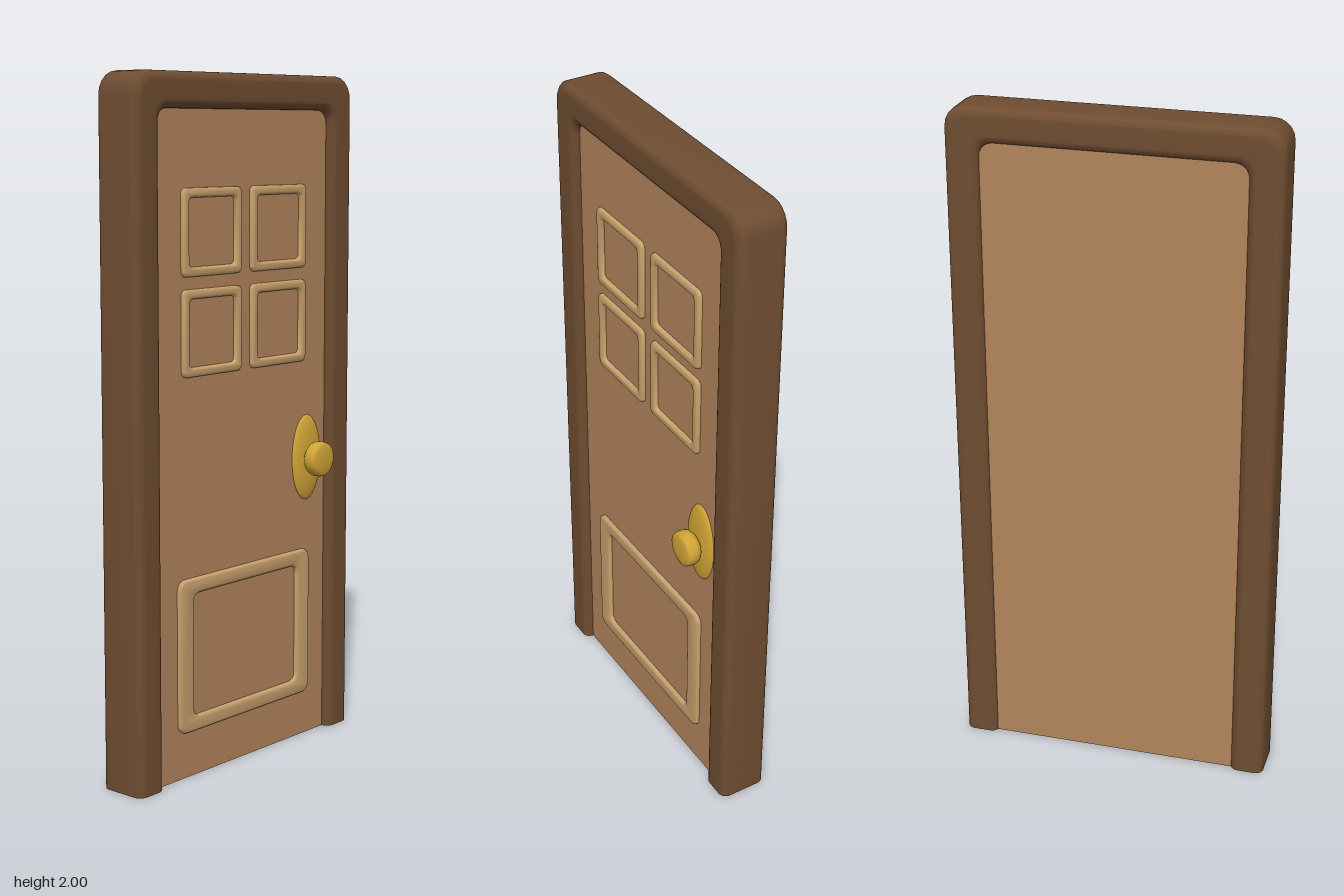
import * as THREE from 'three';
import { toCreasedNormals } from 'three/addons/utils/BufferGeometryUtils.js';

const paint = (color, side = THREE.FrontSide) =>
  new THREE.MeshStandardMaterial({ color, side });

function addMesh(parent, name, geometry, material) {
  const mesh = new THREE.Mesh(geometry, material);
  mesh.name = name;
  parent.add(mesh);
  return mesh;
}

// Rounded rectangle centred on the origin
function roundedRect(w, h, r, PathType = THREE.Shape) {
  const p = new PathType(), x = w / 2, y = h / 2, q = Math.PI / 2;
  p.absarc(x - r, y - r, r, 0, q);
  p.absarc(-x + r, y - r, r, q, 2 * q);
  p.absarc(-x + r, -y + r, r, 2 * q, 3 * q);
  p.absarc(x - r, -y + r, r, 3 * q, 4 * q);
  p.closePath();
  return p;
}

// Hollow rounded section swept up one post, over the top and down the other
function frameGeometry() {
  const width = 0.1, depth = 0.15, arcSteps = 5;
  const section = roundedRect(width, depth, 0.025).getPoints(4)
    .filter((p, i, a) => i === 0 || p.distanceTo(a[i - 1]) > 1e-5);
  if (section[0].distanceTo(section[section.length - 1]) < 1e-5) section.pop();
  const n = section.length, positions = [], index = [];
  const addRing = (place) => section.forEach((s) => {
    const w = s.x + width / 2;
    const [z, y] = place(0.373 + w, 1.9 + w, 0.04 + 0.2 * w);
    positions.push(s.y - 0.025, y, z);
  });
  addRing((z) => [z, 0]);
  for (const [side, start] of [[1, 0], [-1, Math.PI / 2]]) {
    for (let i = 0; i <= arcSteps; i++) {
      const a = start + (i / arcSteps) * Math.PI / 2;
      addRing((z, y, r) => [side * (z - r) + r * Math.cos(a), y - r + r * Math.sin(a)]);
    }
  }
  addRing((z) => [-z, 0]);
  const rings = positions.length / 3 / n;
  for (let k = 0; k < rings - 1; k++) {
    for (let i = 0; i < n; i++) {
      const a = k * n + i, b = k * n + (i + 1) % n;
      index.push(a, b, a + n, b, b + n, a + n);
    }
  }
  const g = new THREE.BufferGeometry();
  g.setAttribute('position', new THREE.Float32BufferAttribute(positions, 3));
  g.setIndex(index);
  return toCreasedNormals(g, 0.7);
}

// Raised moulding with rounded edges, facing +x
function trimGeometry(w, h, barW, barH, r) {
  const shape = roundedRect(w, h, r);
  shape.holes.push(roundedRect(w - 2 * barW, h - 2 * barH, r * 0.8, THREE.Path));
  const bevel = 0.008;
  const g = new THREE.ExtrudeGeometry(shape, {
    depth: 0.012, bevelEnabled: true, bevelThickness: bevel,
    bevelSize: bevel, bevelOffset: -bevel, bevelSegments: 3, curveSegments: 4,
  });
  return toCreasedNormals(g.rotateY(Math.PI / 2), 0.7);
}

export function createModel() {
  const group = new THREE.Group();
  group.name = 'door';
  const frameMat = paint(0x6f4d31, THREE.DoubleSide);
  const doorMat = paint(0xb3845c);
  const trimMat = paint(0xc8a06c);
  const brass = paint(0xd2a535);
  const faceX = 0.025;

  addMesh(group, 'doorFrame', frameGeometry(), frameMat);

  // Door slab, its edges tucked into the frame
  const slab = addMesh(group, 'doorSlab', new THREE.BoxGeometry(0.11, 1.93, 0.81), doorMat);
  slab.position.set(faceX - 0.055, 0.965, 0);

  // Four small upper mouldings and one large lower one
  const small = trimGeometry(0.25, 0.245, 0.027, 0.027, 0.018);
  for (const y of [1.5625, 1.2825]) {
    for (const z of [0.146, -0.146]) {
      addMesh(group, 'upperPanelTrim', small, trimMat).position.set(faceX - 0.008, y, z);
    }
  }
  const large = trimGeometry(0.585, 0.45, 0.06, 0.045, 0.03);
  addMesh(group, 'lowerPanelTrim', large, trimMat).position.set(faceX - 0.008, 0.36, 0);

  // Oval back plate and turned knob
  const handle = new THREE.Group();
  handle.name = 'doorHandle';
  handle.position.set(faceX, 0.865, -0.286);
  group.add(handle);
  const plate = addMesh(handle, 'backPlate', new THREE.SphereGeometry(1, 32, 20), brass);
  plate.scale.set(0.02, 0.13, 0.066);
  const profile = [[0.025, 0], [0.027, 0.018], [0.04, 0.025], [0.049, 0.033],
    [0.0525, 0.043], [0.0525, 0.058], [0.05, 0.068], [0.04, 0.0725], [0.02, 0.0745], [0, 0.075]]
    .map(([r, d]) => new THREE.Vector2(r, d));
  const knob = addMesh(handle, 'knob', new THREE.LatheGeometry(profile, 32), brass);
  knob.rotation.z = -Math.PI / 2;

  return group;
}
